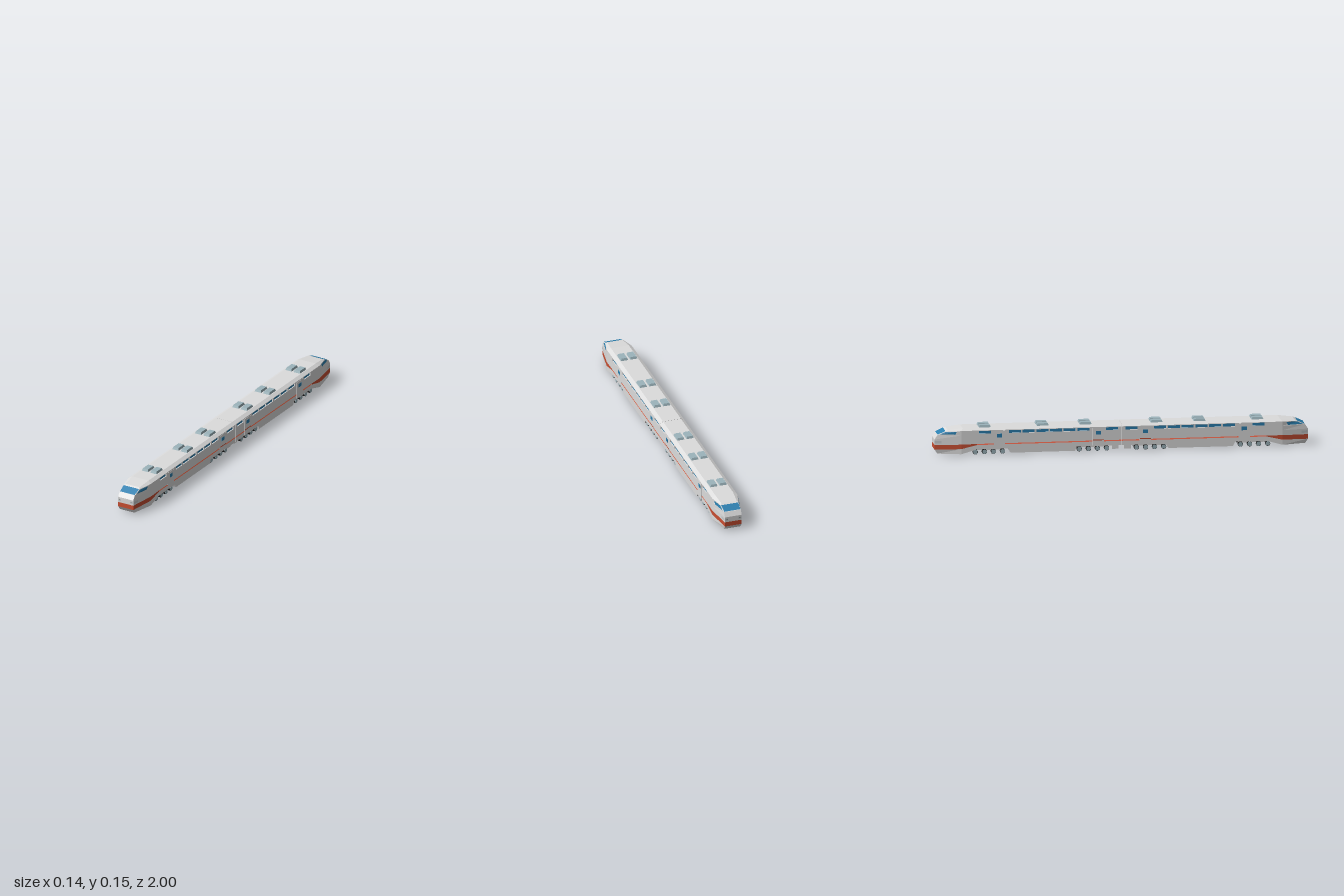
import * as THREE from 'three';

const mat = (name, color) => Object.assign(new THREE.MeshStandardMaterial({ color }), { name });

export function createModel() {
  const body = mat('body light grey', 0xdcdcdc);
  const red = mat('stripe red', 0xc84e32);
  const blue = mat('window blue', 0x2b80b0);
  const hatchGrey = mat('hatch blue grey', 0x9cb4bc);
  const lampGrey = mat('lamp grey', 0xc6cacc);
  const dark = mat('wheel black', 0x1c1c1c);
  const seam = mat('lamp slit grey', 0x6a6c6e);

  // Flat-shaded mesh from a list of four-corner faces
  function quadMesh(name, quads, material) {
    const pos = [];
    for (const [a, b, c, d] of quads) pos.push(...a, ...b, ...c, ...a, ...c, ...d);
    const geo = new THREE.BufferGeometry();
    geo.setAttribute('position', new THREE.Float32BufferAttribute(pos, 3));
    geo.computeVertexNormals();
    const mesh = new THREE.Mesh(geo, material);
    mesh.name = name;
    return mesh;
  }

  // Half cross-sections from nose to tail, each running from sill to roof edge
  const Z0 = .001, Z1 = .775;
  const straight = z => [[.07, .03, z], [.07, .0535, z], [.07, .0595, z], [.07, .085, z],
    [.07, .108, z], [.07, .132, z], [.05, .143, z]];
  const sections = [
    [[.045, .008, .985], [.047, .03, 1], [.047, .055, 1], [.047, .085, 1],
      [.047, .109, .985], [.05, .129, .94], [.043, .134, .93]],
    [[.07, .006, .86], [.07, .034, .86], [.07, .058, .86], [.07, .085, .86],
      [.07, .108, .86], [.07, .132, .86], [.05, .143, .85]],
    straight(Z1), straight(Z0),
  ];
  const P = (i, j, s) => { const [x, y, z] = sections[i][j]; return [x * s, y, z]; };
  const facing = (s, q) => (s > 0 ? q : q.reverse());
  const sideQuad = (i, j, s) =>
    facing(s, [P(i, j, s), P(i + 1, j, s), P(i + 1, j + 1, s), P(i, j + 1, s)]);
  const capQuad = (i, j) => [P(i, j, -1), P(i, j, 1), P(i, j + 1, 1), P(i, j + 1, -1)];

  // Sub-rectangle of a face, lifted slightly off it
  function patch(q, u0, u1, v0, v1, lift = .0012) {
    const [a, b, c, d] = q.map(p => new THREE.Vector3(...p));
    const n = c.clone().sub(a).cross(d.clone().sub(b)).normalize().multiplyScalar(lift);
    const at = (u, v) => a.clone().lerp(b, u).lerp(d.clone().lerp(c, u), v).add(n).toArray();
    return [at(u0, v0), at(u1, v0), at(u1, v1), at(u0, v1)];
  }

  // Lengthwise profile given as [z, y] corners, turned to extrude along x
  const outline = (pts, Kind) => new Kind(pts.map(([z, y]) => new THREE.Vector2(-z, y)));
  const rect = (z0, z1, y0, y1) => [[z0, y0], [z0, y1], [z1, y1], [z1, y0]];
  const extrudeX = (shape, depth) =>
    new THREE.ExtrudeGeometry(shape, { depth, bevelEnabled: false }).rotateY(Math.PI / 2);

  // Window openings along one side
  const windows = [[.02, .085], [.7, .765]];
  for (let k = 0; k < 6; k++) windows.push([.173 + k * .0735, .238 + k * .0735]);
  const recess = .006;

  function createCar() {
    const car = new THREE.Group();
    const add = (name, geo, material, x, y, z) => {
      const m = new THREE.Mesh(geo, material);
      m.name = name;
      m.position.set(x, y, z);
      car.add(m);
    };
    const box = (name, material, w, h, d, x, y, z) =>
      add(name, new THREE.BoxGeometry(w, h, d), material, x, y, z);

    // Hull; the nose stripe runs into a thin groove with a red sloping floor
    const shell = [], stripe = [], groove = [];
    for (const s of [-1, 1]) {
      for (let i = 0; i < 3; i++) {
        for (let j = 0; j < 6; j++) {
          if (i < 2 || (j !== 1 && j !== 4)) (j === 1 ? stripe : shell).push(sideQuad(i, j, s));
        }
      }
      const lo = z => [s * .07, .0535, z], hi = z => [s * .07, .0595, z], inner = z => [s * .064, .0595, z];
      groove.push(facing(s, [lo(Z1), lo(Z0), inner(Z0), inner(Z1)]));
      shell.push(facing(s, [inner(Z1), inner(Z0), hi(Z0), hi(Z1)]));
      shell.push(facing(s, [lo(Z1), inner(Z1), hi(Z1), hi(Z1)]));
    }
    for (let i = 0; i < 3; i++) {
      shell.push([P(i, 6, -1), P(i, 6, 1), P(i + 1, 6, 1), P(i + 1, 6, -1)]);
      shell.push([P(i, 0, 1), P(i, 0, -1), P(i + 1, 0, -1), P(i + 1, 0, 1)]);
    }
    for (let j = 0; j < 6; j++) {
      (j === 1 ? stripe : shell).push(capQuad(0, j));
      shell.push(capQuad(3, j).reverse());
    }
    car.add(quadMesh('hull', shell, body), quadMesh('noseStripe', stripe, red),
      quadMesh('sideStripe', groove, red));

    // Windscreen, cab side windows and lamps
    const glass = [patch(capQuad(0, 4), .02, .98, .04, .97)];
    const lamps = [patch(capQuad(0, 2), .02, .19, .28, .72), patch(capQuad(0, 2), .81, .98, .28, .72)];
    const slits = [patch(capQuad(0, 2), .06, .17, .47, .54, .002), patch(capQuad(0, 2), .83, .94, .47, .54, .002)];
    for (const s of [-1, 1]) {
      const span = (a, b) => (s > 0 ? [a, b] : [1 - b, 1 - a]);
      // Mirrored faces start at the upper corner, so both axes are re-anchored
      const q = j => {
        const k = sideQuad(0, j, s);
        return s > 0 ? k : [k[2], k[3], k[0], k[1]];
      };
      glass.push(patch(q(4), ...span(.06, .74), .15, .85));
      lamps.push(patch(q(2), ...span(.02, .26), .28, .72));
    }
    car.add(quadMesh('cabGlass', glass, blue), quadMesh('headlamps', lamps, lampGrey),
      quadMesh('lampSlits', slits, seam));

    for (const s of [-1, 1]) {
      // Window wall with recessed panes
      const wall = outline(rect(Z0, Z1, .108, .132), THREE.Shape);
      for (const [a, b] of windows) {
        wall.holes.push(outline(rect(a, b, .1135, .129), THREE.Path));
        box('window', blue, .001, .0165, b - a + .002, s * (.07 - recess), .1212, (a + b) / 2);
      }
      add('windowWall', extrudeX(wall, recess), body, s > 0 ? .07 - recess : -.07, 0, 0);

      // Doors with window; the inner one carries a stripe
      const plate = (name, m, z0, z1, y0, y1, t) =>
        box(name, m, t, y1 - y0, z1 - z0, s * .07, (y0 + y1) / 2, (z0 + z1) / 2);
      for (const z of [.126, .655]) {
        plate('door', body, z - .03, z + .03, .033, .127, .003);
        plate('doorWindow', blue, z - .014, z + .014, .0915, .1115, .004);
        if (z < .2) plate('doorStripe', red, z - .029, z + .029, .06, .065, .004);
      }

      // Roof hatches, narrower at the top
      for (const z of [.19, .42, .73]) {
        const geo = new THREE.BoxGeometry(.04, .012, .064);
        const p = geo.attributes.position;
        for (let i = 0; i < p.count; i++) {
          if (p.getY(i) > 0) p.setXYZ(i, p.getX(i) * .8, p.getY(i), p.getZ(i) * .85);
        }
        geo.computeVertexNormals();
        add('roofHatch', geo, hatchGrey, s * .026, .149, z);
      }
    }

    // Underfloor skirt with sloped ends, and the block at the coupling end
    const skirt = outline([[.24, .032], [.25, .006], [.595, .006], [.61, .032]], THREE.Shape);
    add('underfloorSkirt', extrudeX(skirt, .132), body, -.066, 0, 0);
    box('couplingBlock', body, .1, .024, .036, 0, .019, .033);

    // Bogies: frame and wheels
    const wheelGeo = new THREE.CylinderGeometry(.0135, .0135, .016, 14).rotateZ(Math.PI / 2);
    const hubGeo = new THREE.CylinderGeometry(.0122, .0122, .003, 14).rotateZ(Math.PI / 2);
    for (const centre of [.153, .71]) {
      box('bogieFrame', body, .08, .012, .16, 0, .025, centre);
      for (const dz of [-.073, -.024, .024, .073]) {
        for (const s of [-1, 1]) {
          add('wheel', wheelGeo, dark, s * .052, .0138, centre + dz);
          add('wheelHub', hubGeo, hatchGrey, s * .06, .0138, centre + dz);
        }
      }
    }
    return car;
  }

  // Two identical cars, back to back
  const train = new THREE.Group();
  train.name = 'train';
  const front = createCar(), rear = createCar();
  front.name = 'frontCar';
  rear.name = 'rearCar';
  rear.rotation.y = Math.PI;
  train.add(front, rear);
  return train;
}
